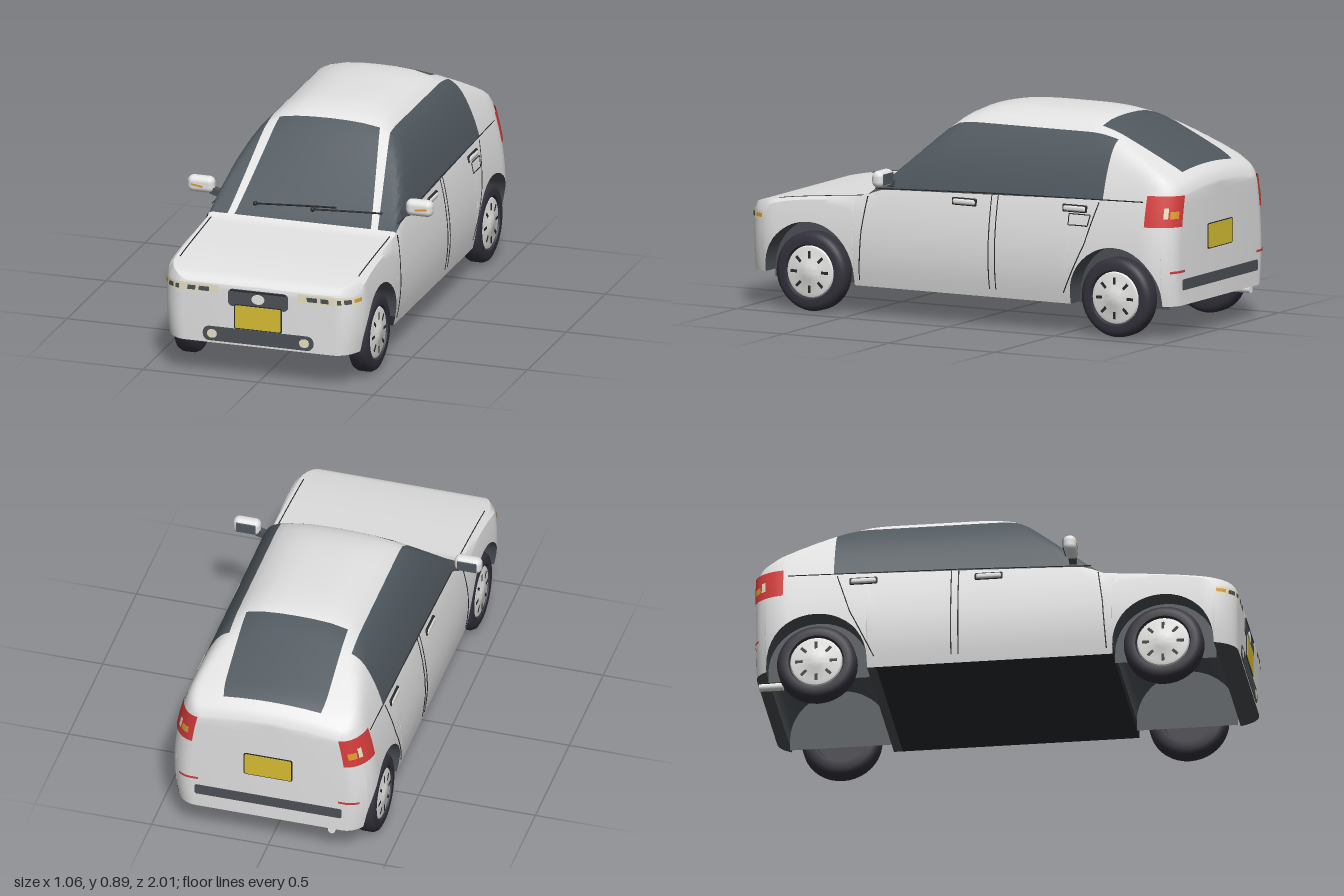
import * as THREE from 'three';
import { toCreasedNormals } from 'three/addons/utils/BufferGeometryUtils.js';
import { RoundedBoxGeometry } from 'three/addons/geometries/RoundedBoxGeometry.js';

const flat = (name, color, side = THREE.FrontSide) =>
  Object.assign(new THREE.MeshStandardMaterial({ color, side }), { name });
const paint = flat('paint', 0xe2e2e2);
const glass = flat('glass', 0x50585e);
const trim = flat('darkTrim', 0x4c5156, THREE.DoubleSide);
const black = flat('black', 0x2a2b2d);
const rubber = flat('rubber', 0x34323c);
const yellow = flat('plateYellow', 0xd8bf34);
const red = flat('lampRed', 0xd63c3c, THREE.DoubleSide);
const orange = flat('indicatorOrange', 0xe09a30, THREE.DoubleSide);
const cream = flat('lampCream', 0xe9e3c4, THREE.DoubleSide);
const white = flat('wheelWhite', 0xf0f0ee);

// Body rules: plan outline, dome cross-section and centre-line height
const { min, max, abs, sqrt, pow, sin, cos, PI } = Math;
const clamp = THREE.MathUtils.clamp, lerp = THREE.MathUtils.lerp;
const WHEELS = [0.70, -0.74], ARCH = 0.21, HUB_Y = 0.165;
const scaleAt = z => {
  const d = min(1 - abs(z), 0.14);
  return (0.33 + 0.105 * sqrt(max(0, 1 - (1 - d / 0.14) ** 2))) / 0.44;
};
const dome = x => 0.3 + 0.59 * pow(max(0, 1 - pow(abs(x) / 0.44, 3.3)), 0.6);
const sideX = y => y > 0.3
  ? 0.44 * pow(max(0, 1 - pow((y - 0.3) / 0.59, 1 / 0.6)), 1 / 3.3)
  : 0.44 - 0.02 * ((0.3 - y) / 0.17) ** 2;
const smin = (a, b, k = 0.05) => min(a, b) - max(k - abs(a - b), 0) ** 2 / (4 * k);
const roofLine = new THREE.SplineCurve([
  [1, 0.41], [0.985, 0.428], [0.95, 0.442], [0.8, 0.466], [0.6, 0.486], [0.47, 0.498], [0.43, 0.512],
  [0.33, 0.605], [0.2, 0.733], [0.08, 0.848], [0, 0.885], [-0.1, 0.915], [-0.3, 0.94], [-0.5, 0.9],
  [-0.6, 0.858], [-0.7, 0.812], [-0.8, 0.765], [-0.9, 0.715], [-0.96, 0.675], [-0.985, 0.65], [-1, 0.615],
].map(p => new THREE.Vector2(...p))).getPoints(300);
const topY = z => {
  const i = clamp(roofLine.findIndex(p => p.x <= z), 1, 300), a = roofLine[i - 1], b = roofLine[i];
  return lerp(a.y, b.y, clamp((a.x - z) / (a.x - b.x || 1), 0, 1));
};
const surfY = (x, z) =>
  smin(dome(x / scaleAt(z)), topY(z) - 0.3 * clamp((0.43 - z) / 0.4, 0, 1) * x * x);
const bottomY = z => {
  for (const c of WHEELS) {
    const d = abs(z - c);
    if (d <= ARCH + 1e-6) return HUB_Y + sqrt(max(0, ARCH * ARCH - d * d));
  }
  return z > 0.9 ? 0.152 : z < -0.94 ? 0.14 : 0.125;
};

// Half section from roof centre, over the glass edges and belt, to the floor centre
function halfSection(z) {
  const s = scaleAt(z), t = clamp((z - 0.08) / 0.35, 0, 1);
  const a = (0.22 + 0.08 * t) * s, b = (0.265 + 0.065 * t) * s;
  const belt = sideX(lerp(0.565, 0.53, clamp((z + 0.67) / 1.1, 0, 1))) * s;
  const xs = [0, a / 3, a * 2 / 3, a, b];
  for (let i = 1; i <= 7; i++) xs.push(lerp(b, belt, i / 7));
  const pts = xs.map(x => [x, surfY(x, z), z]);
  const y0 = pts[11][1], y1 = bottomY(z);
  for (const f of [0.1, 0.25, 0.45, 0.65, 0.85, 1]) {
    const y = lerp(y0, y1, f);
    pts.push([sideX(y) * s, y, z]);
  }
  pts.push([0, y1, z]);
  return pts;
}

function bodyShell() {
  const zs = [0.43, 0.08, -0.57, -0.67, -0.94];
  for (let i = 0; i <= 8; i++) {
    const d = 0.14 * (1 - cos(i / 8 * PI / 2));
    zs.push(1 - d, d - 1);
  }
  for (let i = -20; i <= 20; i++) zs.push(i * 0.041);
  for (const c of WHEELS) {
    for (let i = 0; i <= 20; i++) zs.push(c + ARCH * cos(i / 20 * PI));
    zs.push(c + ARCH + 0.0005, c - ARCH - 0.0005);
  }
  zs.sort((p, q) => q - p);
  const stations = zs.filter((z, i) => i === 0 || zs[i - 1] - z > 1e-4);
  const rows = stations.map(z => {
    const h = halfSection(z);
    return [...h.slice(1).reverse().map(([x, y, w]) => [-x, y, w]), ...h];
  });
  const cap = row => row.map(([, y, z]) => [0, y, z]);
  rows.unshift(cap(rows[0]));
  rows.push(cap(rows[rows.length - 1]));
  const n = rows[0].length, mid = (n - 1) / 2, lists = [[], [], [], []];
  for (let i = 0; i < rows.length - 1; i++) for (let j = 0; j < n - 1; j++) {
    const z = (rows[i][0][2] + rows[i + 1][0][2]) / 2, m = min(abs(j - mid), abs(j + 1 - mid));
    let k = 0;
    if (m < 3 && ((z < 0.43 && z > 0.08) || (z < -0.57 && z > -0.94))) k = 1;
    if (m > 3 && m < 11 && z < 0.43 && z > -0.67) k = 1;
    if (m === 17) k = abs(z) < 0.49 ? 3 : 2;
    const a = i * n + j, d = a + n;
    lists[k].push(a, a + 1, d + 1, a, d + 1, d);
  }
  const g = new THREE.BufferGeometry();
  g.setAttribute('position', new THREE.Float32BufferAttribute(rows.flat(2), 3));
  g.setIndex(lists.flat());
  let start = 0;
  lists.forEach((l, k) => { g.addGroup(start, l.length, k); start += l.length; });
  return toCreasedNormals(g, 0.6);
}

export function createModel() {
  const car = new THREE.Group();
  car.name = 'car';
  const add = (name, geo, mat, x = 0, y = 0, z = 0, parent = car) => {
    const m = new THREE.Mesh(geo, mat);
    m.name = name;
    m.position.set(x, y, z);
    parent.add(m);
    return m;
  };
  add('bodyShell', bodyShell(), [paint, glass, trim, black]);

  // Thin rounded plate on the nose (end 1) or tail (end -1)
  const plate = (name, mat, x, y, w, h, r, end, lift = 0) => {
    const s = new THREE.Shape(), a = w / 2 - r, b = h / 2 - r;
    s.absarc(a, b, r, 0, PI / 2).absarc(-a, b, r, PI / 2, PI);
    s.absarc(-a, -b, r, PI, PI * 1.5).absarc(a, -b, r, PI * 1.5, PI * 2);
    const g = new THREE.ExtrudeGeometry(s, { depth: 0.003, bevelEnabled: false, curveSegments: 8 });
    if (end < 0) g.rotateY(PI);
    add(name, g, mat, x, y, end * (1 + lift));
  };
  // Strip wrapped round a body corner: u < 0 on the flat face, 0..1 round the corner
  const wrap = (name, mat, u0, u1, y0, y1, end, lift = 0.003) => {
    for (const side of [1, -1]) {
      const g = new THREE.PlaneGeometry(1, 1, 12, 4), p = g.attributes.position;
      for (let i = 0; i < p.count; i++) {
        const u = lerp(u0, u1, p.getX(i) + 0.5), y = lerp(y0, y1, p.getY(i) + 0.5);
        const th = max(u, 0) * PI / 2;
        const x = (0.33 + min(u, 0) + 0.105 * sin(th)) * sideX(y) / 0.44 + lift * sin(th);
        p.setXYZ(i, side * x, y, end * (0.86 + 0.14 * cos(th) + lift * cos(th)));
      }
      if (side * end < 0) g.index.array.reverse();
      g.computeVertexNormals();
      add(name, g, mat);
    }
  };
  // Panel gap along the flank, given as (z, y) points
  const tube = (name, pts, r, mat) => add(name, new THREE.TubeGeometry(
    new THREE.CatmullRomCurve3(pts), pts.length * 2, r, 5), mat);
  const seam = (pts, sides = [1, -1]) => sides.forEach(side => {
    const out = [];
    for (let i = 0; i < pts.length - 1; i++) for (let k = i ? 1 : 0; k <= 6; k++) {
      const z = lerp(pts[i][0], pts[i + 1][0], k / 6), y = lerp(pts[i][1], pts[i + 1][1], k / 6);
      out.push(new THREE.Vector3(side * sideX(y) * scaleAt(z), y, z));
    }
    tube('panelGap', out, 0.0025, black);
  });

  // Front face
  plate('grille', trim, 0, 0.358, 0.26, 0.075, 0.02, 1);
  plate('grilleSlot', black, 0, 0.39, 0.24, 0.007, 0.003, 1, 0.002);
  const badge = add('ovalBadge', new THREE.CylinderGeometry(0.028, 0.028, 0.008, 24), white, 0, 0.36, 1.002);
  badge.rotation.x = PI / 2;
  badge.scale.z = 0.75;
  plate('frontPlateFrame', black, 0, 0.278, 0.208, 0.106, 0.008, 1, 0.002);
  plate('frontPlate', yellow, 0, 0.278, 0.198, 0.098, 0.006, 1, 0.004);
  plate('lowerIntake', trim, 0, 0.192, 0.48, 0.062, 0.028, 1);
  for (const s of [1, -1]) plate('fogLamp', cream, s * 0.2, 0.192, 0.042, 0.036, 0.017, 1, 0.002);
  wrap('headlamp', cream, -0.155, 0.72, 0.368, 0.403, 1);
  for (const [a, b] of [[-0.115, -0.07], [-0.055, -0.02], [0.1, 0.2], [0.27, 0.45]])
    wrap('headlampInsert', trim, a, b, 0.375, 0.394, 1, 0.005);
  wrap('frontIndicator', orange, 0.52, 0.72, 0.377, 0.393, 1, 0.005);

  // Rear face
  plate('rearPlateFrame', black, 0, 0.4, 0.208, 0.106, 0.008, -1);
  plate('rearPlate', yellow, 0, 0.4, 0.198, 0.098, 0.006, -1, 0.002);
  plate('rearBumperStrip', trim, 0, 0.225, 0.63, 0.045, 0.01, -1);
  wrap('tailLamp', red, 0.05, 0.92, 0.47, 0.598, -1, 0.006);
  wrap('tailIndicator', orange, 0.2, 0.42, 0.505, 0.535, -1, 0.008);
  wrap('reverseLamp', cream, 0.46, 0.56, 0.505, 0.55, -1, 0.008);
  wrap('rearReflector', red, -0.03, 0.35, 0.278, 0.288, -1, 0.004);
  add('exhaust', new THREE.CylinderGeometry(0.016, 0.016, 0.1, 16), white, -0.27, 0.128, -0.945).rotation.x = PI / 2;

  // Door, bonnet and fuel flap gaps
  seam([[0.43, 0.5], [0.45, 0.36], [0.465, 0.15]]);
  seam([[-0.15, 0.55], [-0.15, 0.16]]);
  seam([[-0.18, 0.55], [-0.18, 0.16]]);
  seam([[-0.655, 0.555], [-0.6, 0.38], [-0.5, 0.17]]);
  seam([[0.4, 0.535], [-0.15, 0.555], [-0.86, 0.57]]);
  seam([[-0.52, 0.5], [-0.52, 0.455], [-0.61, 0.455], [-0.62, 0.5], [-0.52, 0.5]], [1]);
  for (const s of [1, -1]) {
    const edge = [];
    for (let z = 0.46; z < 0.88; z += 0.05) edge.push(new THREE.Vector3(s * 0.388, surfY(0.388, z), z));
    tube('bonnetGap', edge, 0.0025, black);
  }

  // Wipers
  for (const [x0, x1] of [[-0.22, 0.13], [0.03, 0.33]]) {
    const pts = [0, 0.33, 0.67, 1].map(t => {
      const x = lerp(x0, x1, t), z = 0.39 - 0.015 * t;
      return new THREE.Vector3(x, surfY(x, z) + 0.008, z);
    });
    tube('wiper', pts, 0.004, black);
    add('wiperPivot', new THREE.SphereGeometry(0.01, 10, 8), black, pts[0].x, pts[0].y, pts[0].z);
  }

  // Handles and mirrors
  for (const s of [1, -1]) {
    for (const [z, y] of [[-0.025, 0.511], [-0.545, 0.522]]) {
      const x = s * (sideX(y) * scaleAt(z));
      add('handleRecess', new RoundedBoxGeometry(0.012, 0.033, 0.116, 2, 0.006), black, x, y, z);
      add('doorHandle', new RoundedBoxGeometry(0.024, 0.024, 0.106, 3, 0.01), paint, x, y, z);
    }
    const mirror = new THREE.Group();
    mirror.name = 'doorMirror';
    mirror.position.set(s * 0.474, 0.591, 0.325);
    car.add(mirror);
    add('mirrorShell', new RoundedBoxGeometry(0.116, 0.07, 0.054, 5, 0.025), paint, 0, 0, 0, mirror);
    add('mirrorGlass', new RoundedBoxGeometry(0.084, 0.045, 0.006, 2, 0.003), glass, 0, 0, -0.026, mirror);
    const strip = add('mirrorIndicator', new THREE.BoxGeometry(0.05, 0.008, 0.006), orange, s * 0.012, -0.002, 0.026, mirror);
    strip.rotation.z = s * 0.15;
    add('mirrorArm', new THREE.BoxGeometry(0.06, 0.028, 0.03), trim, -s * 0.07, -0.03, 0, mirror).rotation.z = s * 0.3;
  }

  // Wheels and the inner walls of the wheel wells
  const lathe = pts => new THREE.LatheGeometry(pts.map(p => new THREE.Vector2(...p)), 40).rotateZ(-PI / 2);
  const tyre = toCreasedNormals(lathe([[0.001, -0.03], [0.1, -0.03], [0.105, -0.045], [0.14, -0.045], [0.157, -0.037],
    [0.165, -0.022], [0.165, 0.022], [0.157, 0.037], [0.14, 0.045], [0.115, 0.043], [0.108, 0.028]]), 0.7);
  const hub = toCreasedNormals(lathe([[0.112, 0.026], [0.105, 0.038], [0.09, 0.042], [0.04, 0.044], [0.032, 0.048], [0, 0.048]]), 0.5);
  const wall = new THREE.Shape();
  wall.moveTo(ARCH, -0.045).lineTo(ARCH, 0).absarc(0, 0, ARCH, 0, PI).lineTo(-ARCH, -0.045);
  const wallGeo = new THREE.ShapeGeometry(wall, 24).rotateY(PI / 2);
  for (const z of WHEELS) for (const s of [1, -1]) {
    add('wheelWellWall', wallGeo, trim, s * 0.332, HUB_Y, z);
    const wheel = new THREE.Group();
    wheel.name = 'wheel';
    wheel.position.set(s * 0.38, HUB_Y, z);
    if (s < 0) wheel.rotation.y = PI;
    car.add(wheel);
    add('tyre', tyre, rubber, 0, 0, 0, wheel);
    add('wheelCover', hub, white, 0, 0, 0, wheel);
    for (let i = 0; i < 8; i++) {
      const a = i / 8 * PI * 2;
      const slot = add('coverSlot', new THREE.BoxGeometry(0.006, 0.03, 0.012), black, 0.041, 0.072 * cos(a), 0.072 * sin(a), wheel);
      slot.rotation.x = a;
    }
  }
  return car;
}
